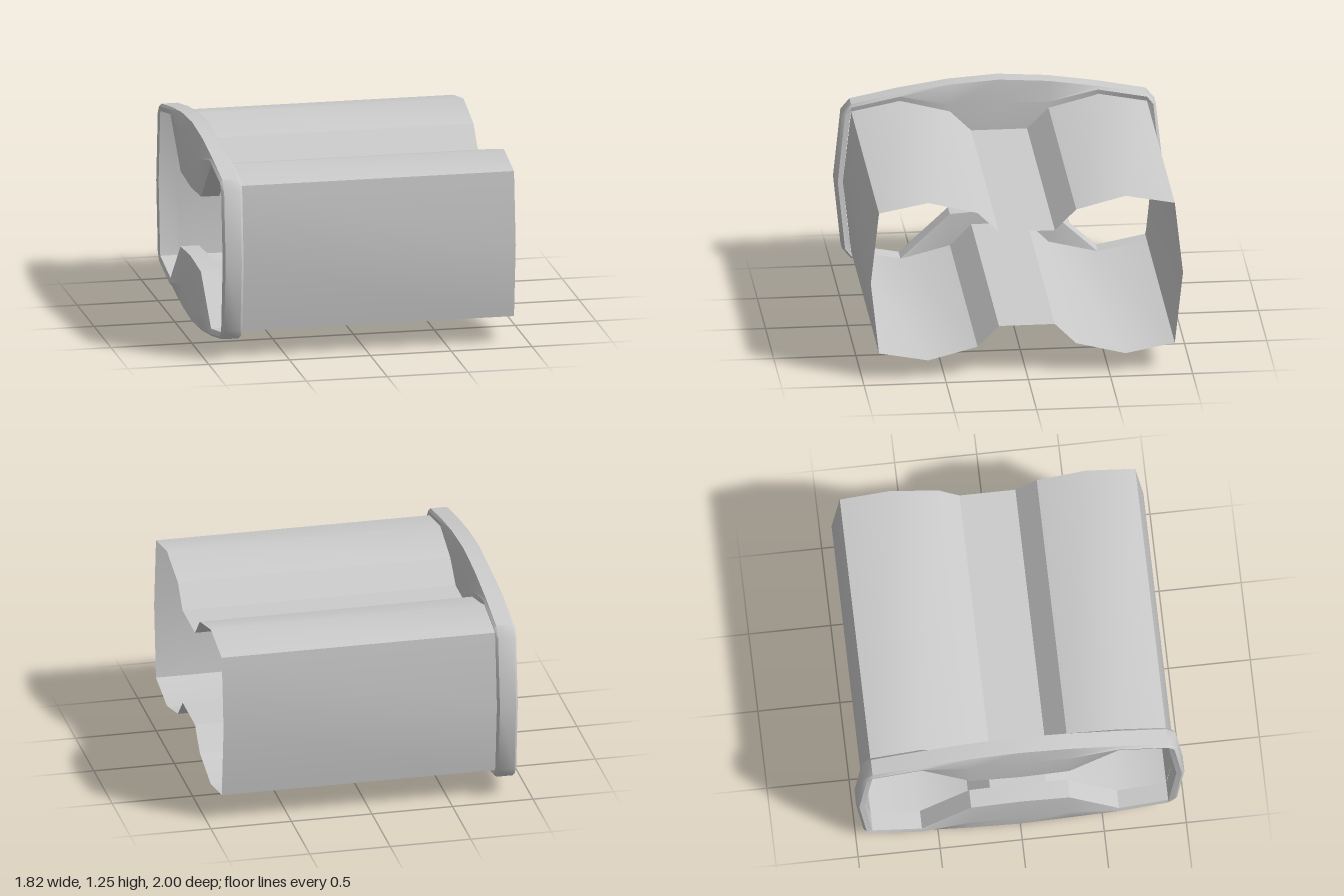
import * as THREE from 'three';
import { toCreasedNormals } from 'three/addons/utils/BufferGeometryUtils.js';

const MID = 0.625; // height of the horizontal symmetry plane

// Mirror a quarter outline [z, y above the middle], listed from top to side, into a closed loop
function mirrorLoop(quarter) {
  const half = [...quarter];
  for (const [z, y] of [...quarter].reverse()) if (y > 0) half.push([z, -y]);
  const loop = [...half];
  for (const [z, y] of [...half].reverse()) if (z > 0) loop.push([-z, y]);
  return loop;
}

// Skin a list of rings, each { x, loop }
function loft(rings, crease) {
  const n = rings[0].loop.length;
  const positions = [];
  const index = [];
  for (const { x, loop } of rings) for (const [z, y] of loop) positions.push(x, y + MID, z);
  for (let r = 0; r < rings.length - 1; r++) {
    for (let i = 0; i < n; i++) {
      const a = r * n + i, b = r * n + (i + 1) % n;
      index.push(a, b, b + n, a, b + n, a + n);
    }
  }
  const geometry = new THREE.BufferGeometry();
  geometry.setAttribute('position', new THREE.Float32BufferAttribute(positions, 3));
  geometry.setIndex(index);
  return toCreasedNormals(geometry, crease);
}

export function createModel() {
  const group = new THREE.Group();
  group.name = 'groovedSleeve';

  // Thin open sleeve with a groove along the top and the bottom
  const sleeveLoop = mirrorLoop([[0.17, 0.305], [0.3, 0.435], [0.6, 0.512], [0.9, 0.455], [0.95, 0]]);
  const sleeve = new THREE.Mesh(
    loft([{ x: -0.79, loop: sleeveLoop }, { x: 0.91, loop: sleeveLoop }], 0.49),
    new THREE.MeshStandardMaterial({ color: 0xcccccc, side: THREE.DoubleSide })
  );
  sleeve.name = 'sleeve';
  group.add(sleeve);

  // Rounded end flange whose inner edge dips to close off the grooves
  const outer = mirrorLoop([[0, 0.625], [0.3, 0.605], [0.6, 0.56], [0.9, 0.5], [0.955, 0.435], [1, 0]]);
  const inner = mirrorLoop([[0, 0.217], [0.3, 0.235], [0.6, 0.513], [0.9, 0.455], [0.905, 0.435], [0.95, 0]]);
  const between = (t) => outer.map(([z, y], i) => [z + (inner[i][0] - z) * t, y + (inner[i][1] - y) * t]);

  // Cross-section of the flange: [x offset, fraction from outer to inner edge]
  const section = [[-0.05, 0], [0.05, 0], [0.065, 0.35], [0.057, 1], [-0.057, 1], [-0.065, 0.35], [-0.05, 0]];
  const flange = new THREE.Mesh(
    loft(section.map(([dx, t]) => ({ x: -0.845 + dx, loop: between(t) })), 0.65),
    new THREE.MeshStandardMaterial({ color: 0xcccccc })
  );
  flange.name = 'endFlange';
  group.add(flange);

  return group;
}
